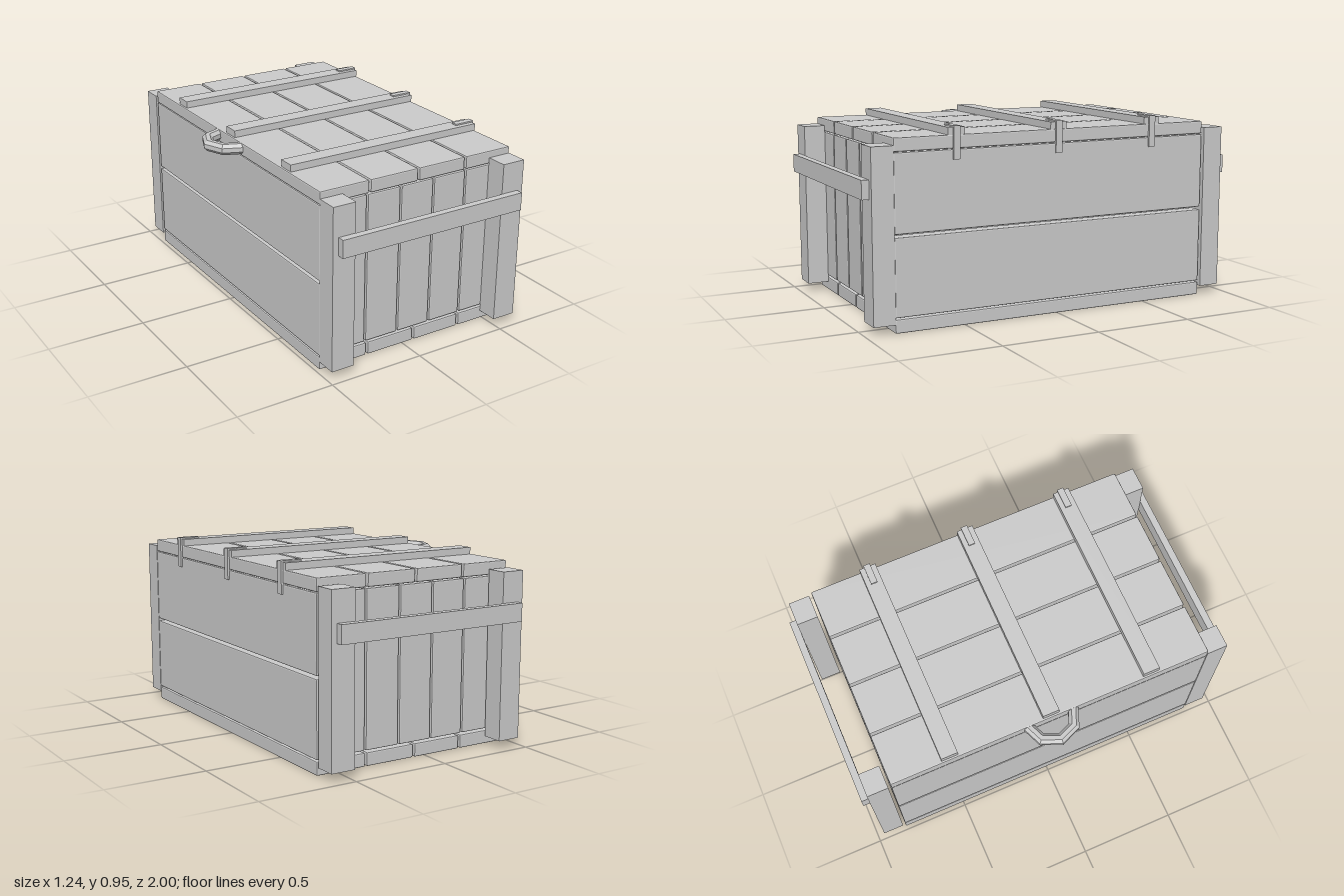
import * as THREE from 'three';
import { RoundedBoxGeometry } from 'three/addons/geometries/RoundedBoxGeometry.js';

const wood = new THREE.MeshStandardMaterial({ color: 0xcccccc, flatShading: true });

// Box given by its limits on each axis; bevel > 0 softens the edges
function board(parent, name, [x0, x1], [y0, y1], [z0, z1], bevel = 0) {
  const size = [x1 - x0, y1 - y0, z1 - z0];
  const geometry = bevel
    ? new RoundedBoxGeometry(...size, 1, bevel)
    : new THREE.BoxGeometry(...size);
  const mesh = new THREE.Mesh(geometry, wood);
  mesh.name = name;
  mesh.position.set((x0 + x1) / 2, (y0 + y1) / 2, (z0 + z1) / 2);
  parent.add(mesh);
}

function section(parent, name) {
  const group = new THREE.Group();
  group.name = name;
  parent.add(group);
  return group;
}

export function createModel() {
  const crate = new THREE.Group();
  crate.name = 'woodenCrate';
  const left = -0.48, right = 0.61, back = -0.84, front = 0.855;
  const length = [back, front], bevel = 0.006;

  // Floor and lid: four long planks each
  const floor = section(crate, 'floor');
  const lid = section(crate, 'lid');
  const pitch = 0.275;
  for (let i = 0; i < 4; i++) {
    const x = [left + i * pitch, left + i * pitch + 0.264];
    board(floor, 'floorPlank', x, [0.003, 0.07], length, bevel);
    board(lid, 'lidPlank', x, [0.85, 0.915], length, bevel);
  }

  // Long sides: two wide planks each
  const sides = section(crate, 'sideWalls');
  for (const x of [[left, left + 0.068], [right - 0.068, right]]) {
    board(sides, 'sidePlank', x, [0.077, 0.455], length, bevel);
    board(sides, 'sidePlank', x, [0.469, 0.847], length, bevel);
  }

  // Ends: five upright planks, two corner posts and a cross rail
  for (const s of [1, -1]) {
    const end = section(crate, s > 0 ? 'frontEnd' : 'backEnd');
    const face = s > 0 ? front : back;
    const span = (a, b) => (a < b ? [a, b] : [b, a]);
    for (let i = 0; i < 5; i++) {
      const x = -0.408 + i * 0.189;
      board(end, 'endPlank', [x, x + 0.181], [0.08, 0.845], span(face - s * 0.065, face), bevel);
    }
    for (const x of [[left, -0.36], [0.485, right]])
      board(end, 'cornerPost', x, [0.046, 0.88], span(s * 0.855, s * 0.964));
    board(end, 'crossRail', [-0.45, 0.58], [0.637, 0.728], span(s * 0.964, s));
  }

  // Lid battens, each with an angled hinge strap over the right edge
  for (const z of [-0.53, 0.003, 0.543]) {
    board(lid, 'lidBatten', [-0.47, 0.61], [0.914, 0.95], [z - 0.043, z + 0.043]);
    const hinge = section(lid, 'hinge');
    const width = [z - 0.017, z + 0.017];
    board(hinge, 'hingeTopStrap', [0.51, 0.619], [0.945, 0.957], width);
    board(hinge, 'hingeSideStrap', [0.605, 0.619], [0.8, 0.945], width);
  }

  // Half-ring handle: an octagonal profile swept through half a turn
  const profile = [];
  for (let i = 0; i <= 8; i++) {
    const a = (i + 0.5) * Math.PI / 4;
    profile.push(new THREE.Vector2(0.121 + 0.03 * Math.cos(a), 0.03 * Math.sin(a)));
  }
  const handle = new THREE.Mesh(new THREE.LatheGeometry(profile, 4, Math.PI, Math.PI), wood);
  handle.name = 'lidHandle';
  handle.position.set(-0.47, 0.885, 0.002);
  lid.add(handle);

  return crate;
}
